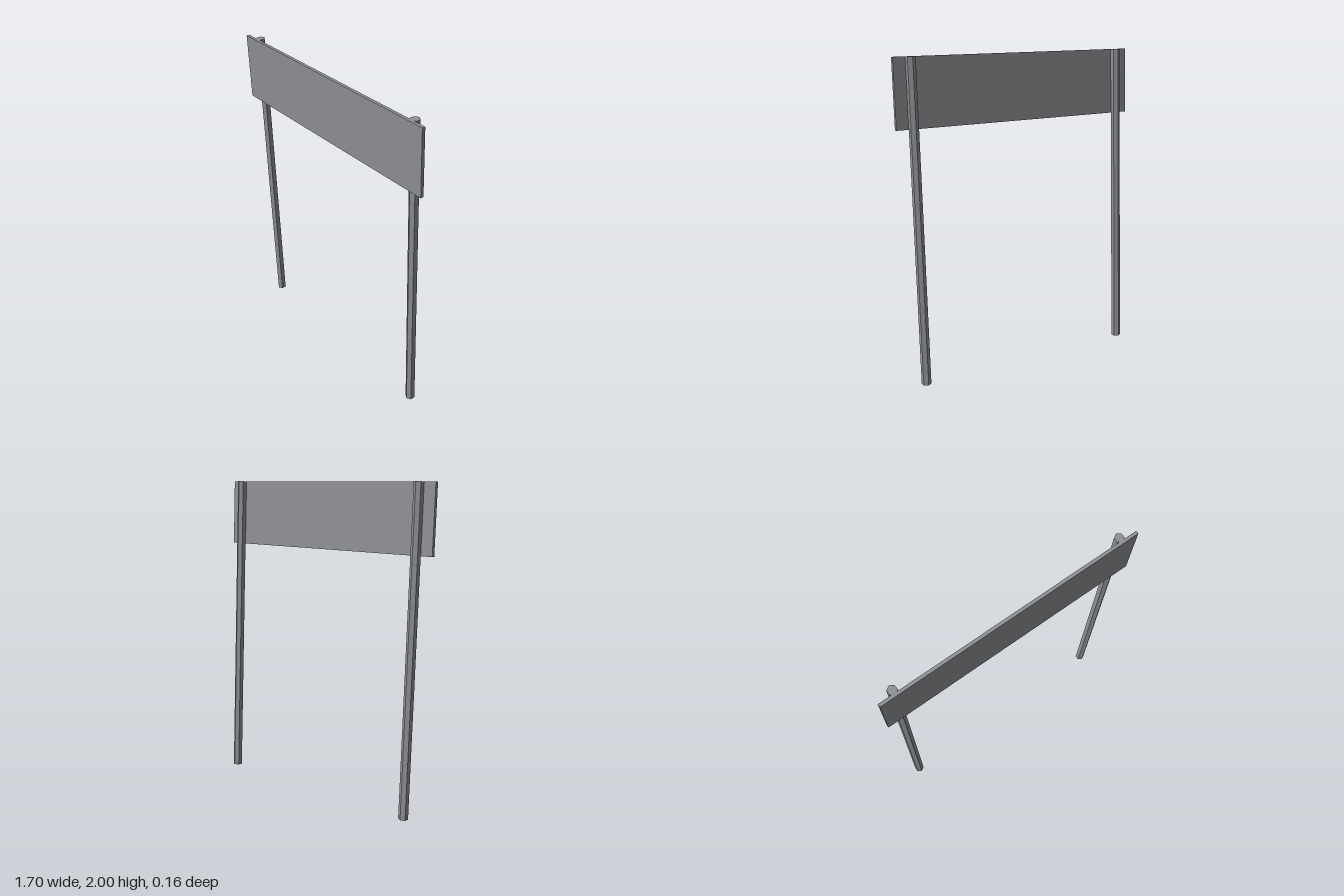
import * as THREE from 'three';

export function createModel() {
  const model = new THREE.Group();
  model.name = 'signboard';

  const metal = new THREE.MeshStandardMaterial({ color: 0x8f9094, flatShading: true });
  metal.name = 'grey metal';

  const lean = 0.0436; // whole sign leans forward
  const length = 1.9993;
  const frame = new THREE.Group();
  frame.name = 'leaningFrame';
  frame.rotation.x = lean;
  frame.position.set(0, 0.0013, -0.05);
  model.add(frame);

  // Two hexagonal posts, one corner facing forward
  for (const side of [-1, 1]) {
    const post = new THREE.Mesh(new THREE.CylinderGeometry(0.03, 0.03, length, 6), metal);
    post.name = side > 0 ? 'leftPost' : 'rightPost';
    post.position.set(side * 0.748, length / 2, 0);
    frame.add(post);
  }

  // Flat board fixed to the front of the posts
  const board = new THREE.Mesh(new THREE.BoxGeometry(1.7, 0.422, 0.02), metal);
  board.name = 'board';
  board.position.set(0, length - 0.211, 0.031);
  frame.add(board);

  return model;
}
